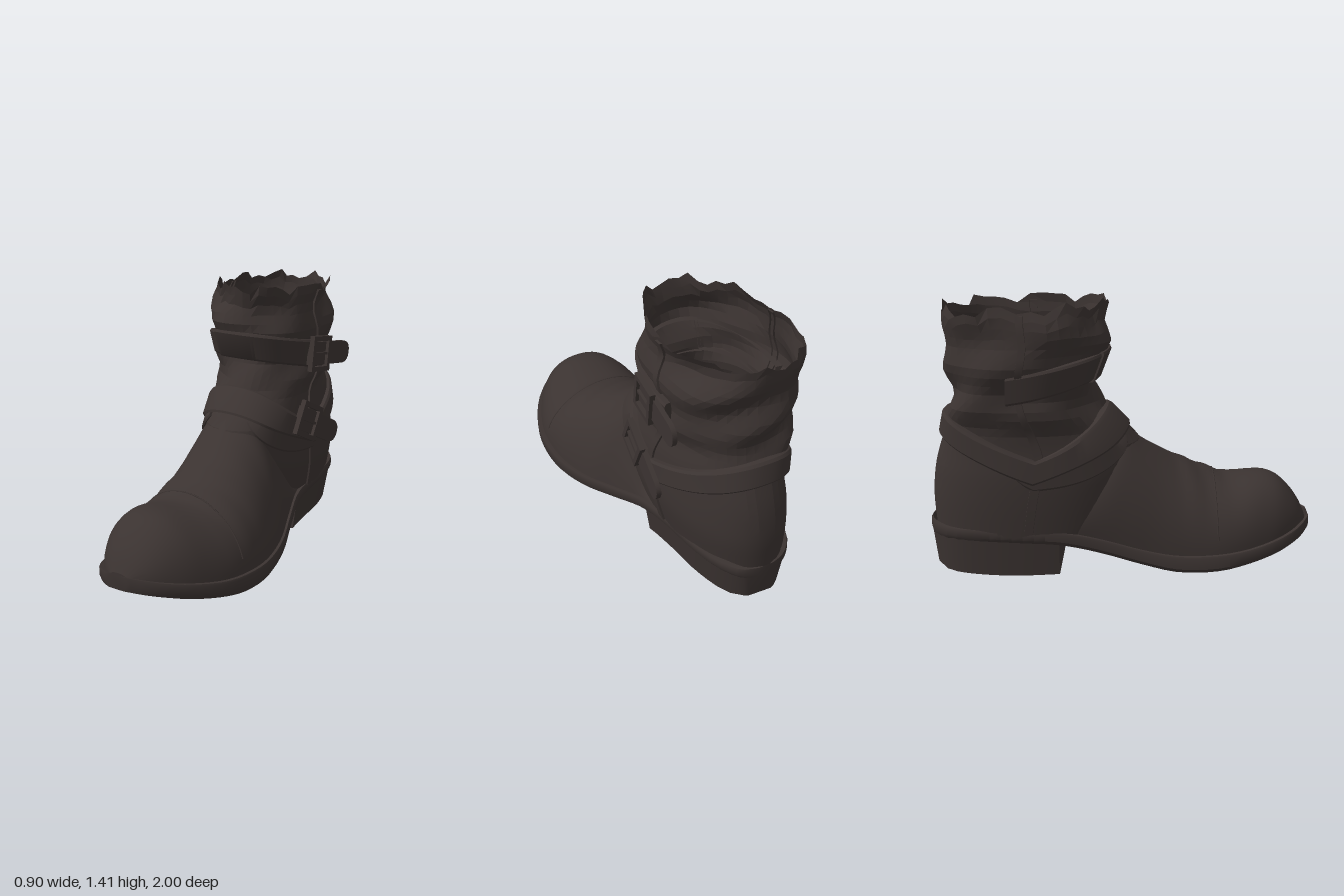
import * as THREE from 'three';
import { toCreasedNormals } from 'three/addons/utils/BufferGeometryUtils.js';

const leather = new THREE.MeshStandardMaterial({ color: 0x3b3331, side: THREE.DoubleSide });
leather.name = 'dark brown leather';

// Smooth lookup in rows of [key, values...] sorted by rising key
function lookup(rows, k) {
  const last = rows.length - 1;
  k = Math.min(Math.max(k, rows[0][0]), rows[last][0]);
  let i = 0;
  while (i < last - 1 && k > rows[i + 1][0]) i++;
  const slope = (j, c) => {
    const a = rows[Math.max(j - 1, 0)], b = rows[Math.min(j + 1, last)];
    return (b[c] - a[c]) / (b[0] - a[0]);
  };
  const p = rows[i], q = rows[i + 1], h = q[0] - p[0], t = (k - p[0]) / h;
  return p.slice(1).map((_, n) => {
    const c = n + 1, t2 = t * t, t3 = t2 * t;
    return (2 * t3 - 3 * t2 + 1) * p[c] + (t3 - 2 * t2 + t) * h * slope(i, c)
      + (3 * t2 - 2 * t3) * q[c] + (t3 - t2) * h * slope(i + 1, c);
  });
}

// Skin a series of equal-length open cross-sections
function loft(name, rings, { caps = false, crease = 0.7 } = {}) {
  const n = rings[0].length, pos = rings.flat(2), idx = [];
  for (let r = 0; r < rings.length - 1; r++) {
    for (let i = 0; i < n - 1; i++) {
      const a = r * n + i, b = a + 1;
      idx.push(a, b, a + n, b, b + n, a + n);
    }
  }
  if (caps) {
    const e = (rings.length - 1) * n;
    for (let i = 1; i < n - 1; i++) idx.push(0, i + 1, i, e, e + i, e + i + 1);
  }
  const g = new THREE.BufferGeometry();
  g.setAttribute('position', new THREE.Float32BufferAttribute(pos, 3));
  g.setIndex(idx);
  return mesh(name, toCreasedNormals(g, crease));
}
function mesh(name, geometry) {
  const m = new THREE.Mesh(geometry, leather);
  m.name = name;
  return m;
}
const steps = (a, b, n) => Array.from({ length: n + 1 }, (_, i) => a + (b - a) * i / n);
const spow = (v, p) => Math.sign(v) * Math.abs(v) ** p;
const smooth = THREE.MathUtils.smoothstep;

// Sole: z, inner x, outer x, underside y, top y
const SOLE = [
  [-1, -0.18, -0.09, 0.20, 0.265], [-0.98, -0.24, -0.02, 0.20, 0.265], [-0.93, -0.30, 0.03, 0.20, 0.264],
  [-0.85, -0.345, 0.075, 0.20, 0.262], [-0.7, -0.365, 0.12, 0.195, 0.26], [-0.5, -0.36, 0.155, 0.185, 0.25],
  [-0.3, -0.335, 0.205, 0.165, 0.235], [-0.1, -0.30, 0.29, 0.11, 0.185], [0.1, -0.285, 0.38, 0.055, 0.135],
  [0.3, -0.29, 0.437, 0.02, 0.11], [0.5, -0.285, 0.452, 0.025, 0.115], [0.65, -0.255, 0.43, 0.05, 0.13],
  [0.8, -0.20, 0.368, 0.085, 0.16], [0.9, -0.133, 0.295, 0.115, 0.185], [0.96, -0.065, 0.222, 0.133, 0.203],
  [1, 0.01, 0.135, 0.145, 0.215],
];
const tilt = (x, z) => 0.05 * (x - 0.08) * smooth(z, -0.2, 0.3);

// Ridge of the foot: z, y, x
const RIDGE = [
  [-0.45, 0.27, -0.09], [-0.3, 0.35, -0.08], [-0.2, 0.52, -0.07], [-0.06, 0.7, -0.06], [0, 0.72, -0.05],
  [0.1, 0.645, -0.03], [0.25, 0.55, 0.02], [0.4, 0.48, 0.05], [0.5, 0.437, 0.06], [0.58, 0.428, 0.06],
  [0.68, 0.44, 0.06], [0.76, 0.44, 0.07], [0.83, 0.415, 0.07], [0.9, 0.35, 0.075], [0.95, 0.28, 0.075],
  [0.98, 0.215, 0.075],
];
function footPoint(z, a) {
  const [x0, x1, , base] = lookup(SOLE, Math.min(z + 0.012, 1)), [top, ridge] = lookup(RIDGE, z);
  const c = (x0 + x1) / 2, s = spow(Math.sin(a), 0.92), w = (x1 - x0) / 2 - 0.02;
  const x = c + w * spow(Math.cos(a), 0.92) + (ridge - c) * s;
  const ripple = 0.006 * Math.sin(z * 42 + x * 9) * smooth(z, 0.2, 0.35) * (1 - smooth(z, 0.5, 0.6)) * s;
  return [x, base - 0.02 + (top - base + 0.02) * s + ripple + tilt(x, z) * (1 - s), z];
}

// Shaft: y, back z, front z, inner x, outer x
const SHAFT = [
  [0.22, -0.97, 0, -0.355, 0.155], [0.4, -0.98, 0.06, -0.365, 0.19], [0.55, -0.965, 0.1, -0.365, 0.195],
  [0.65, -0.94, 0.09, -0.355, 0.19], [0.75, -0.905, 0, -0.355, 0.18], [0.85, -0.88, -0.09, -0.38, 0.17],
  [0.95, -0.865, -0.15, -0.4, 0.18], [1.05, -0.87, -0.13, -0.41, 0.19], [1.2, -0.88, -0.075, -0.42, 0.2],
  [1.3, -0.885, -0.09, -0.395, 0.17], [1.4, -0.91, -0.085, -0.375, 0.18],
];
// Angle 0 is the outer side, a quarter turn is the front
function shaftPoint(a, y, off = 0, folds = false) {
  const [zb, zf, x0, x1] = lookup(SHAFT, y);
  const f = folds ? smooth(y, 0.68, 0.95) * (0.014 * Math.sin(y * 27 + 3 * Math.sin(a + 1))
    + 0.01 * Math.sin(a * 5 + y * 15)) : 0;
  const z = (zb + zf) / 2 + ((zf - zb) / 2 + off + f) * spow(Math.sin(a), 0.9);
  const x = (x0 + x1) / 2 + ((x1 - x0) / 2 + off + f) * spow(Math.cos(a), 0.9) + (z + 0.45) * 0.1;
  return [x, y, z];
}

// Leather strip lying on the shaft between two height curves
function band(name, a0, a1, low, high, inner, outer, n = 40) {
  return loft(name, steps(a0, a1, n).map(a => {
    const l = low(a), h = high(a), e = Math.min(0.012, (h - l) / 4);
    return [shaftPoint(a, l, inner), shaftPoint(a, l, outer - 0.01), shaftPoint(a, l + e, outer),
      shaftPoint(a, h - e, outer), shaftPoint(a, h, outer - 0.01), shaftPoint(a, h, inner)];
  }), { caps: true, crease: 0.5 });
}

// Buckle frame with pin and the loose strap end
function buckle(name, w, h, tail) {
  const g = new THREE.Group();
  g.name = name;
  const bar = (n, sx, sy, x, y, z = 0.022) => {
    const m = mesh(n, new THREE.BoxGeometry(sx, sy, 0.028));
    m.position.set(x, y, z);
    g.add(m);
  };
  for (const s of [-1, 1]) {
    bar('buckleSide', 0.026, h, s * (w / 2 - 0.013), 0);
    bar('buckleRail', w - 0.03, 0.026, 0, s * (h / 2 - 0.013));
  }
  bar('bucklePin', w * 0.8, 0.014, 0, 0, 0.018);
  const r = 0.062, s = new THREE.Shape();
  s.moveTo(-0.08, -r).lineTo(tail - 0.06, -r);
  s.quadraticCurveTo(tail, -r * 0.9, tail, 0).quadraticCurveTo(tail, r * 0.9, tail - 0.06, r);
  s.lineTo(-0.08, r);
  const end = mesh('strapEnd', new THREE.ExtrudeGeometry(s, { depth: 0.024, bevelEnabled: false }));
  end.position.z = -0.006;
  g.add(end);
  return g;
}

export function createModel() {
  const boot = new THREE.Group();
  boot.name = 'boot';

  // Sole with its welt lip, hollow above
  const soleZ = [-1, -0.992, -0.98, -0.96, -0.93, ...steps(-0.89, 0.89, 32), 0.92, 0.94, 0.96, 0.975, 0.99, 1];
  boot.add(loft('sole', soleZ.map(z => {
    const [x0, x1, lo, hi] = lookup(SOLE, z), i = Math.min(0.015, (x1 - x0) / 4), lip = Math.min(0.035, (x1 - x0) / 3);
    return [[x0 + lip, hi], [x0 + 0.005, hi], [x0, hi - 0.01], [x0, lo + 0.022], [x0 + i, lo],
      [x1 - i, lo], [x1, lo + 0.022], [x1, hi - 0.01], [x1 - 0.005, hi], [x1 - lip, hi]]
      .map(([x, y]) => [x, y + tilt(x, z), z]);
  }), { caps: true, crease: 0.6 }));

  // Stacked heel block, tapering to the ground
  boot.add(loft('heel', [-0.985, -0.975, -0.955, ...steps(-0.92, -0.32, 10)].map(z => {
    const [x0, x1] = lookup(SOLE, z), b = z < -0.95 ? 0.028 : 0.004 + 0.012 * smooth(-z, 0.5, 0.95);
    const zb = -0.32 + (z + 0.32) * 0.975;
    return [[x0 + 0.012, 0.21, z], [x0 + 0.025, b, zb], [x1 - 0.04, b + 0.01, zb], [x1 - 0.012, 0.21, z]];
  }), { caps: true }));

  // Vamp and rounded toe
  const footZ = [...steps(-0.45, 0.86, 42), 0.89, 0.915, 0.935, 0.955, 0.97, 0.98];
  boot.add(loft('foot', footZ.map(z => steps(0, Math.PI, 28).map(a => footPoint(z, a))), { crease: 1 }));
  const rim = footPoint(0.98, 0);
  const toeRing = steps(0, Math.PI, 28).map(a => footPoint(0.98, a));
  boot.add(loft('toeFront', [toeRing, toeRing.map(p => [p[0], rim[1], 0.98])]));
  const seamPath = steps(0.25, 2.9, 24).map(a => new THREE.Vector3(...footPoint(0.5 - 0.02 * Math.sin(a), a)));
  boot.add(mesh('toeSeam', new THREE.TubeGeometry(new THREE.CatmullRomCurve3(seamPath), 40, 0.004, 5)));

  // Slouched shaft with a ragged rim; below the ankle it opens into the foot
  boot.add(loft('shaft', steps(0, 1, 26).map(t => {
    const gap = 0.75 * Math.max(0, (0.7 - (0.22 + 1.15 * t)) / 0.48);
    return steps(Math.PI / 2 + gap, Math.PI * 2.5 - gap, 44).map(a => {
      const rag = 0.02 * Math.sin(a * 8) + 0.014 * Math.sin(a * 17 + 1) + 0.01 * Math.sin(a);
      return shaftPoint(a, 0.22 + 1.15 * t + rag * smooth(t, 0.85, 1), 0, true);
    });
  }), { crease: 0.2 }));

  // Side seams
  for (const [name, c] of [['outerSeam', 0.02], ['innerSeam', Math.PI - 0.02]]) {
    boot.add(loft(name, steps(0.24, 1.35, 28).map(y => [[-0.035, -0.01], [-0.03, 0.01], [0.03, 0.01], [0.035, -0.01]]
      .map(([da, o]) => shaftPoint(c + da, y, o, true))), { caps: true, crease: 0.5 }));
  }

  // Ankle strap dipping at both sides, and the curved patches under it
  const ankle = a => 0.57 + 0.225 * Math.abs(Math.sin(a)) ** 0.95;
  boot.add(band('ankleStrap', 0, Math.PI * 2, a => ankle(a) - 0.06, a => ankle(a) + 0.06, -0.015, 0.03, 72));
  for (const [name, f] of [['outerPatch', a => a], ['innerPatch', a => Math.PI - a]]) {
    boot.add(band(name, f(-0.12), f(1.15), a => ankle(a) - 0.07 - 0.09 * Math.max(0, Math.sin((f(a) + 0.12) * 2.4)),
      a => ankle(a) - 0.04, -0.02, 0.016, 20));
  }

  // Upper strap: the buckled length overlaps the inner length at the front
  const upper = a => 1.0 + 0.075 * Math.sin(a);
  boot.add(band('upperStrapInner', 1.9, Math.PI + 0.1, a => upper(a) - 0.07, a => upper(a) + 0.07, -0.02, 0.024));
  boot.add(band('upperStrapOuter', -0.15, 1.95, a => upper(a) - 0.076, a => upper(a) + 0.076, -0.02, 0.034));

  // Buckles on the outer side
  const top = buckle('upperBuckle', 0.17, 0.19, 0.3);
  top.position.set(0.22, 1.015, -0.43);
  top.rotation.set(0.06, Math.PI / 2 - 0.03, -0.18);
  const low = buckle('ankleBuckle', 0.18, 0.19, 0.31);
  low.position.set(0.226, 0.665, -0.32);
  low.rotation.set(0, Math.PI / 2 - 0.06, -0.45);
  boot.add(top, low);
  return boot;
}
